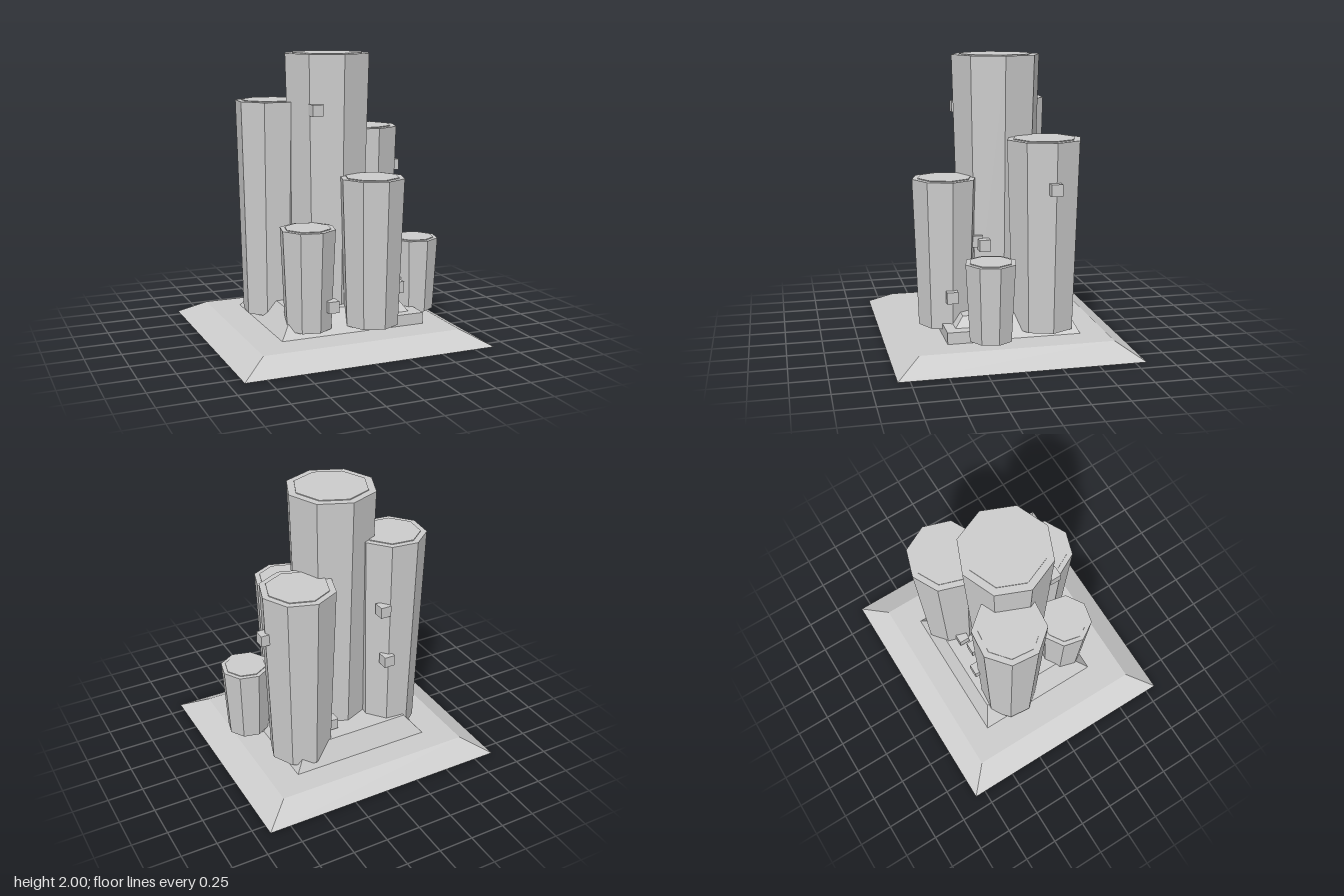
import * as THREE from 'three';

const stone = new THREE.MeshStandardMaterial({ color: 0xcccccc, flatShading: true });
stone.name = 'paleGrey';

function add(group, geometry, name, x = 0, y = 0, z = 0) {
  const mesh = new THREE.Mesh(geometry, stone);
  mesh.name = name;
  mesh.position.set(x, y, z);
  group.add(mesh);
  return mesh;
}

// Box with sloping sides; each rectangle is [minX, maxX, minZ, maxZ]
function slopedBlock(low, high, y0, y1) {
  const geometry = new THREE.BoxGeometry(1, 1, 1);
  const p = geometry.attributes.position;
  for (let i = 0; i < p.count; i++) {
    const top = p.getY(i) > 0;
    const r = top ? high : low;
    p.setXYZ(i, p.getX(i) < 0 ? r[0] : r[1], top ? y1 : y0, p.getZ(i) < 0 ? r[2] : r[3]);
  }
  geometry.computeVertexNormals();
  return geometry;
}

// Eight-sided column, wider at the top, with a thin raised cap
function column(name, x, z, radius, top, degrees) {
  const group = new THREE.Group();
  group.name = name;
  const bottom = 0.14;
  const capHeight = 0.006;
  const height = top - capHeight - bottom;
  add(group, new THREE.CylinderGeometry(radius, radius * 0.84, height, 8), 'shaft', 0, bottom + height / 2, 0);
  add(group, new THREE.CylinderGeometry(radius * 0.83, radius * 0.83, capHeight, 8), 'cap', 0, top - capHeight / 2, 0);
  group.position.set(x, 0, z);
  group.rotation.y = -THREE.MathUtils.degToRad(degrees);
  return group;
}

export function createModel() {
  const model = new THREE.Group();
  model.name = 'columnCluster';

  // Plinth, mound and step
  add(model, slopedBlock([-0.9, 0.9, -0.83, 0.83], [-0.72, 0.72, -0.665, 0.665], 0, 0.1), 'plinth');
  add(model, slopedBlock([-0.51, 0.52, -0.485, 0.445], [-0.39, 0.42, -0.41, 0.32], 0.1, 0.25), 'mound');
  add(model, new THREE.BoxGeometry(0.405, 0.08, 0.365), 'step', 0.345, 0.14, 0.265);

  // Columns: name, x, z, top radius, top height, turn
  const columns = [
    ['centreColumn', 0, -0.003, 0.313, 2, 0],
    ['backRightColumn', -0.357, -0.195, 0.247, 1.668, 28],
    ['backLeftColumn', 0.384, -0.253, 0.263, 1.452, -4.5],
    ['frontColumn', 0.168, 0.395, 0.228, 1.172, -5],
    ['frontRightColumn', -0.28, 0.33, 0.195, 0.84, -10],
    ['leftColumn', 0.607, 0.165, 0.178, 0.672, -9],
  ];
  columns.forEach((c) => model.add(column(...c)));

  // Small cubes clinging to the columns
  const cubes = [
    [-0.182, 1.62, 0.245],
    [0.64, 1.14, -0.265],
    [-0.155, 0.31, 0.46],
    [0.37, 0.375, 0.385],
    [0.44, 0.355, 0.2],
    [0.255, 0.7, 0.135],
    [0.2, 0.72, 0.18],
    [0.29, 0.4, 0.15],
    [-0.205, 1.18, -0.38],
    [-0.24, 0.775, -0.39],
    [0.16, 0.31, -0.3],
  ];
  const cubeGeometry = new THREE.BoxGeometry(0.078, 0.08, 0.078);
  cubes.forEach((c, i) => add(model, cubeGeometry, `cube${i + 1}`, ...c));

  return model;
}
